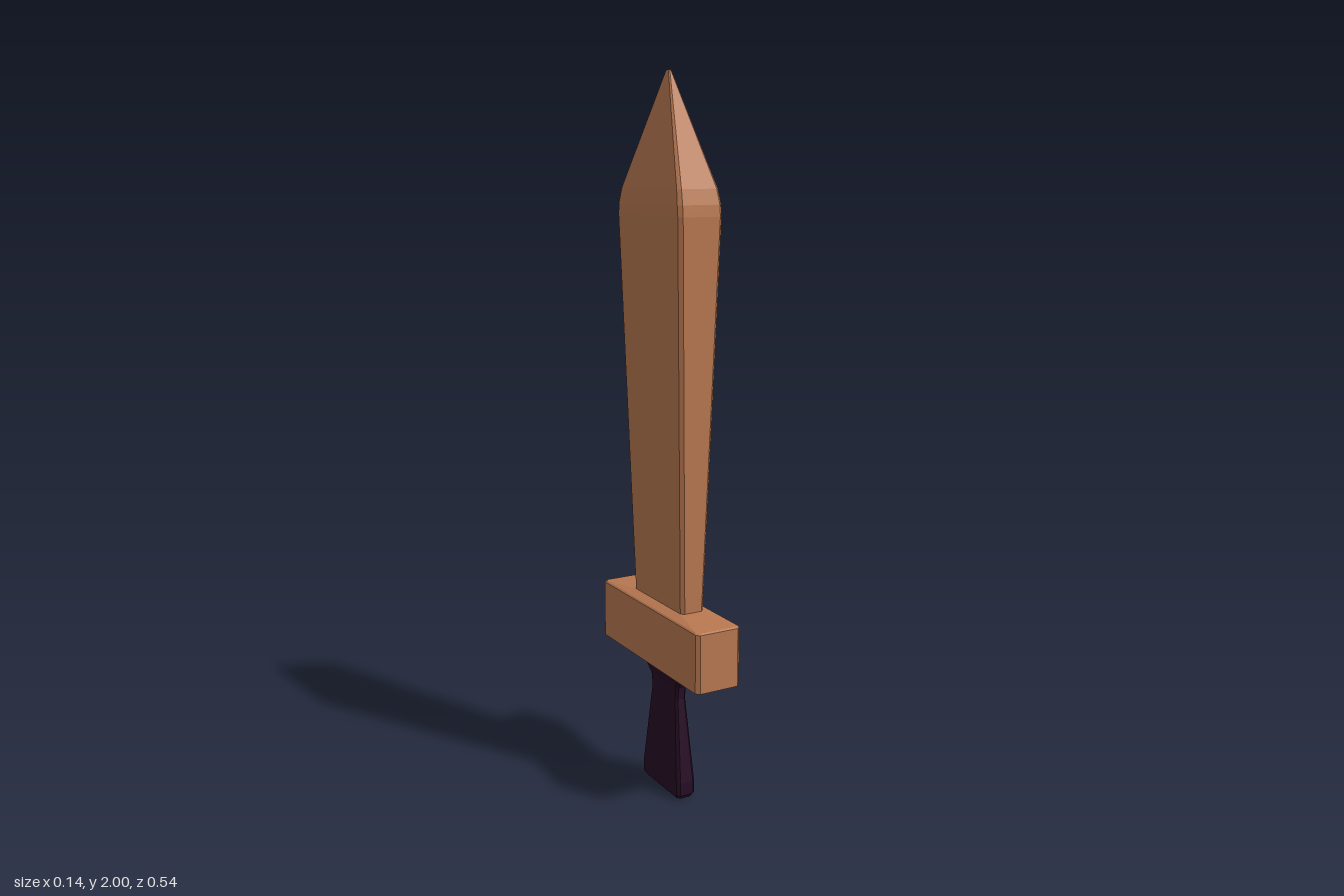
import * as THREE from 'three';

// Flat-faced loft through chamfered rectangles, each [y, halfX, halfZ, chamfer], bottom to top
function loft(sections) {
  const rings = sections.map(([y, hx, hz, c]) => [
    [hx, -hz + c], [hx, hz - c], [hx - c, hz], [-hx + c, hz],
    [-hx, hz - c], [-hx, -hz + c], [-hx + c, -hz], [hx - c, -hz],
  ].map(([x, z]) => [x, y, z]));
  const positions = [];
  const tri = (...corners) => corners.forEach((p) => positions.push(...p));
  for (let r = 0; r < rings.length - 1; r++) {
    for (let i = 0; i < 8; i++) {
      const j = (i + 1) % 8;
      const low = rings[r], high = rings[r + 1];
      tri(low[i], high[i], low[j]);
      tri(low[j], high[i], high[j]);
    }
  }
  // End caps
  const bottom = rings[0], top = rings[rings.length - 1];
  for (let i = 1; i < 7; i++) {
    tri(bottom[0], bottom[i], bottom[i + 1]);
    tri(top[0], top[i + 1], top[i]);
  }
  const geometry = new THREE.BufferGeometry();
  geometry.setAttribute('position', new THREE.Float32BufferAttribute(positions, 3));
  geometry.computeVertexNormals();
  return geometry;
}

export function createModel() {
  const group = new THREE.Group();
  const wood = new THREE.MeshStandardMaterial({ color: 0xb87850 });
  wood.name = 'wood';
  const wrap = new THREE.MeshStandardMaterial({ color: 0x260d24 });
  wrap.name = 'dark grip';
  wood.flatShading = wrap.flatShading = true;

  const add = (name, material, sections) => {
    const mesh = new THREE.Mesh(loft(sections), material);
    mesh.name = name;
    group.add(mesh);
  };

  // Blade widens upward, then tapers from the shoulder to the tip
  add('blade', wood, [
    [0.55, 0.035, 0.135, 0.009],
    [1.63, 0.065, 0.171, 0.01],
    [1.66, 0.065, 0.168, 0.01],
    [1.70, 0.061, 0.157, 0.009],
    [1.995, 0.005, 0.011, 0.003],
    [2.0, 0.003, 0.007, 0.002],
  ]);

  // Cross guard with a shallow raised collar under the blade
  add('guard', wood, [
    [0.388, 0.068, 0.272, 0.01],
    [0.552, 0.068, 0.272, 0.01],
    [0.556, 0.064, 0.266, 0.01],
    [0.564, 0.037, 0.137, 0.009],
  ]);

  // Grip flares at the pommel end and under the guard
  add('grip', wrap, [
    [0, 0.022, 0.095, 0.008],
    [0.012, 0.029, 0.104, 0.009],
    [0.05, 0.029, 0.104, 0.009],
    [0.29, 0.016, 0.071, 0.006],
    [0.325, 0.017, 0.075, 0.006],
    [0.355, 0.023, 0.097, 0.007],
    [0.39, 0.034, 0.135, 0.009],
  ]);

  return group;
}
